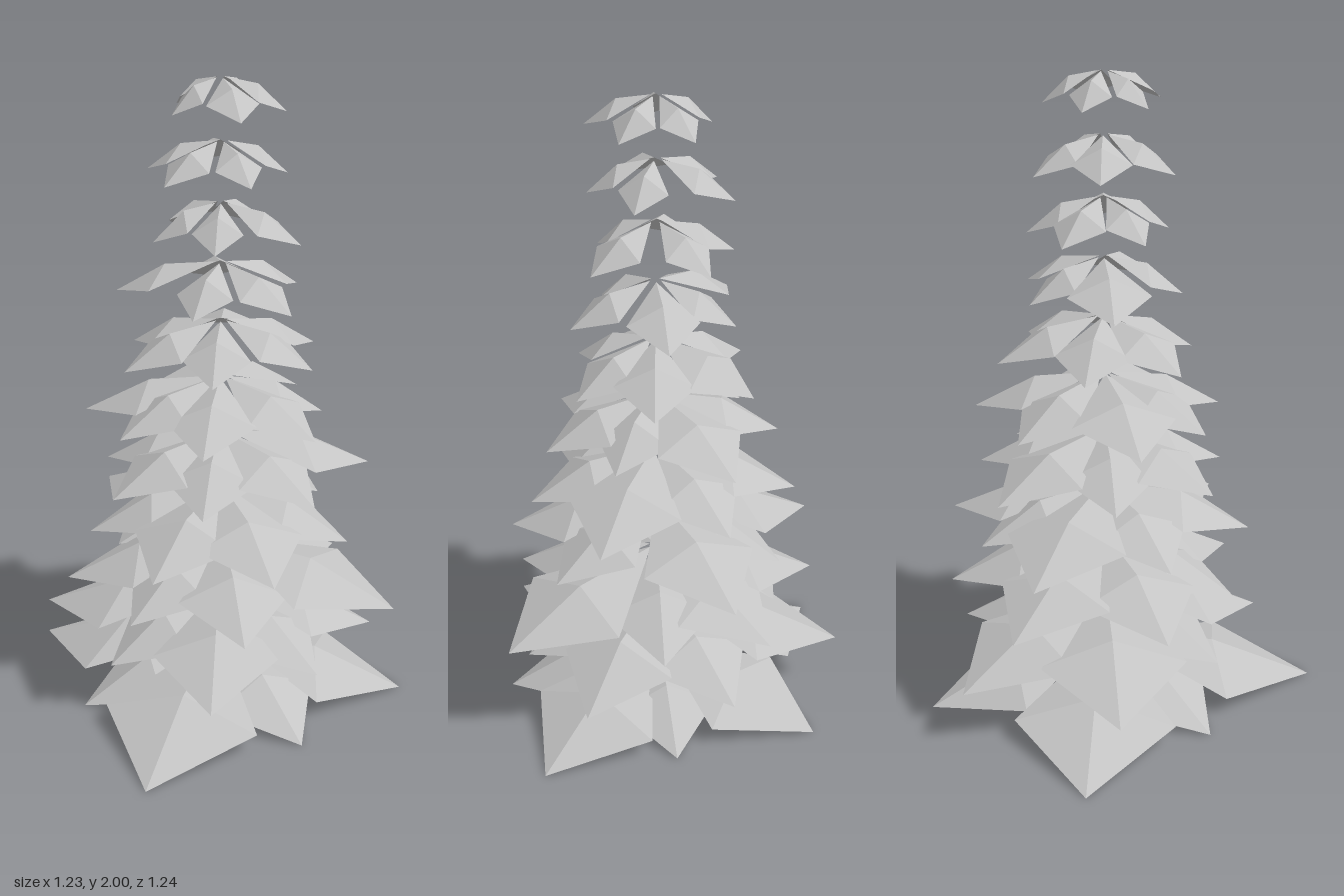
import * as THREE from 'three';

// Each tier: [angle in degrees from +x towards +z, reach] for every leaf, bottom to top
const TIERS = [
  [[2, 0.6], [53, 0.48], [104, 0.68], [152, 0.48], [200, 0.676], [267, 0.585], [318, 0.42]],
  [[-8, 0.5], [40, 0.43], [88, 0.53], [139, 0.43], [191, 0.615], [241, 0.6], [296, 0.47]],
  [[17, 0.587], [76, 0.467], [125, 0.43], [173, 0.5], [226, 0.53], [282, 0.495], [324, 0.447]],
  [[13, 0.42], [65, 0.466], [111, 0.46], [167, 0.42], [218, 0.53], [260, 0.42], [300, 0.51]],
  [[-13, 0.48], [40, 0.4], [93, 0.38], [140, 0.4], [190, 0.38], [241, 0.44], [294, 0.4]],
  [[-11, 0.32], [33, 0.36], [93, 0.37], [140, 0.37], [181, 0.43], [237, 0.38], [293, 0.41]],
  [[18, 0.3], [90, 0.283], [150, 0.32], [205, 0.32], [268, 0.335], [328, 0.33]],
  [[35, 0.27], [105, 0.24], [190, 0.335], [256, 0.25], [320, 0.29]],
  [[15, 0.25], [90, 0.205], [160, 0.21], [225, 0.24], [285, 0.23]],
  [[-15, 0.2], [60, 0.2], [130, 0.23], [197, 0.24], [254, 0.235]],
  [[0, 0.19], [70, 0.21], [144, 0.165], [215, 0.175], [291, 0.18]],
];
const HOLE = 0.017; // small open ring around the axis

// Unit folded leaf: a kite of four facets, creased along its ridge
function leafGeometry() {
  const root = [0, 0, 0], ridge = [0.51, -0.17, 0], tip = [1, -1, 0];
  const left = [0.55, -0.62, 0.37], right = [0.55, -0.62, -0.37];
  const facets = [
    root, left, ridge,
    left, tip, ridge,
    tip, right, ridge,
    right, root, ridge,
  ];
  const geometry = new THREE.BufferGeometry();
  geometry.setAttribute('position', new THREE.Float32BufferAttribute(facets.flat(), 3));
  geometry.computeVertexNormals();
  return geometry;
}

export function createModel() {
  const tree = new THREE.Group();
  tree.name = 'tree';
  const leafGrey = new THREE.MeshStandardMaterial({ color: 0xc4c4c4, side: THREE.DoubleSide });
  leafGrey.name = 'leafGrey';
  const geometry = leafGeometry();

  TIERS.forEach((leaves, i) => {
    // Tiers are evenly spaced and droop less towards the top
    const tier = new THREE.Group();
    tier.name = `leafTier${i + 1}`;
    tier.position.set(0.013, 0.167 + i * 0.1833, -0.043);
    const droop = 0.163 - i * 0.0068;
    for (const [degrees, reach] of leaves) {
      const angle = THREE.MathUtils.degToRad(degrees);
      const leaf = new THREE.Mesh(geometry, leafGrey);
      leaf.name = 'leaf';
      leaf.position.set(HOLE * Math.cos(angle), 0, HOLE * Math.sin(angle));
      leaf.rotation.y = -angle;
      leaf.scale.set(reach - HOLE, droop, reach);
      tier.add(leaf);
    }
    tree.add(tier);
  });
  return tree;
}
